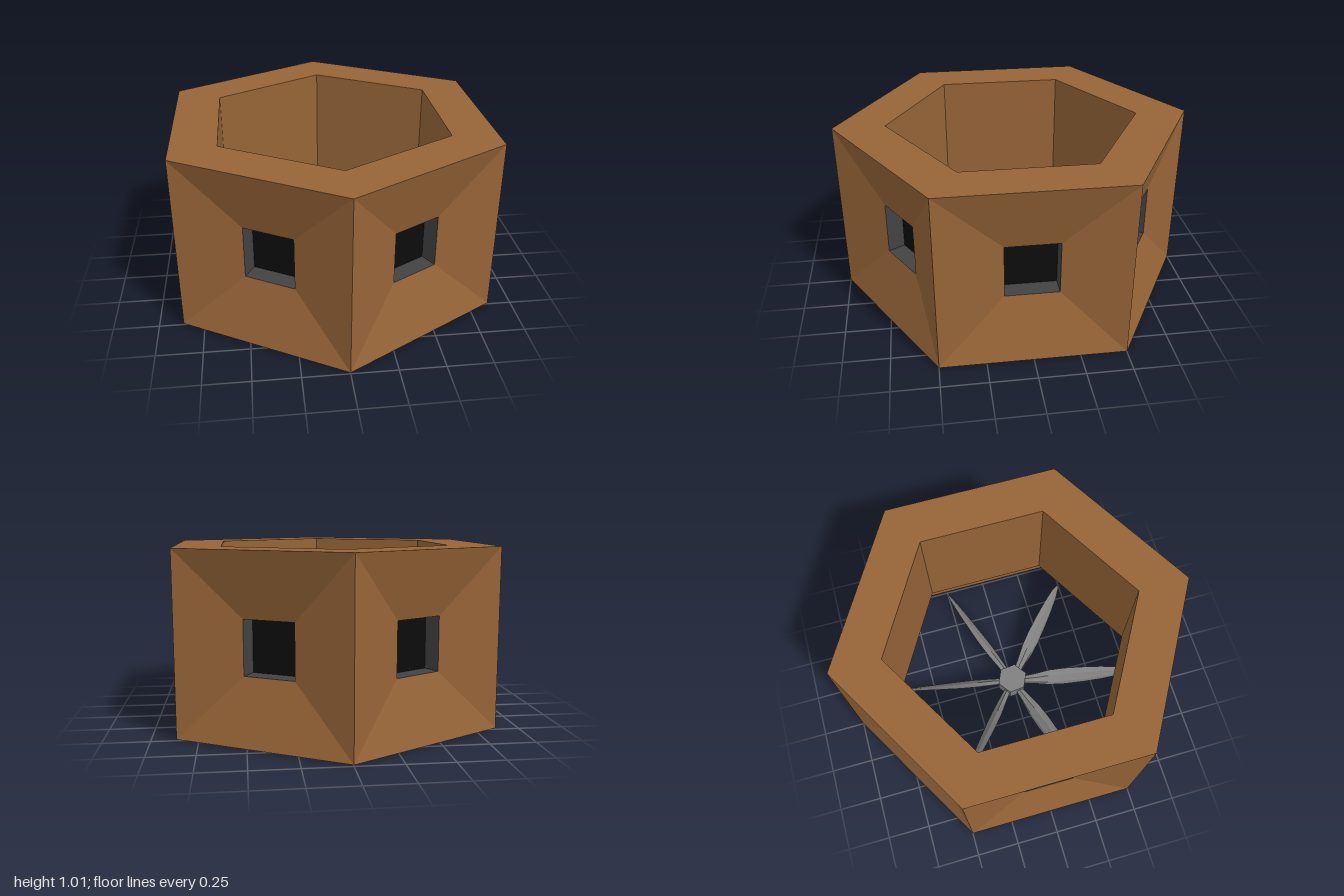
import * as THREE from 'three';

const mat = (name, color) => {
  const m = new THREE.MeshStandardMaterial({ color });
  m.name = name;
  return m;
};

// Joins successive loops of points with flat-shaded quads
function loft(loops) {
  const pos = [];
  for (let k = 0; k + 1 < loops.length; k++) {
    const a = loops[k], b = loops[k + 1], n = a.length;
    for (let i = 0; i < n; i++) {
      const j = (i + 1) % n;
      pos.push(...a[i], ...a[j], ...b[j], ...a[i], ...b[j], ...b[i]);
    }
  }
  const g = new THREE.BufferGeometry();
  g.setAttribute('position', new THREE.Float32BufferAttribute(pos, 3));
  g.computeVertexNormals();
  return g;
}

function flat(geometry) {
  const g = geometry.toNonIndexed();
  g.computeVertexNormals();
  return g;
}

// Upright rectangle facing +z, counter-clockwise
const rect = (half, y0, y1, z) =>
  [[-half, y0, z], [half, y0, z], [half, y1, z], [-half, y1, z]];

// Tapered, twisted blade along +x: [radius, half chord, half thickness, pitch in degrees]
function bladeGeometry() {
  const stations = [
    [0.06, 0.024, 0.016, 35], [0.14, 0.034, 0.017, 42], [0.24, 0.056, 0.016, 50],
    [0.34, 0.063, 0.014, 53], [0.46, 0.062, 0.012, 57], [0.58, 0.056, 0.010, 61],
    [0.68, 0.042, 0.007, 64], [0.745, 0.014, 0.003, 66], [0.75, 0, 0, 66],
  ];
  const outline = [[1, 0], [0.4, 1], [-0.5, 1], [-1, 0], [-0.5, -1], [0.4, -1]];
  return loft(stations.map(([r, chord, thick, deg]) => {
    const p = THREE.MathUtils.degToRad(deg), s = Math.sin(p), c = Math.cos(p);
    return outline.map(([u, v]) =>
      [r, u * chord * s + v * thick * c, -u * chord * c + v * thick * s]);
  }));
}

export function createModel() {
  const model = new THREE.Group();
  const brown = mat('brown housing', 0x966437);
  const grey = mat('grey rotor', 0x808080);
  const dark = mat('dark window frame', 0x424242);
  const black = mat('black window', 0x0c0c0c);

  const add = (parent, name, geometry, material) => {
    const mesh = new THREE.Mesh(geometry, material);
    mesh.name = name;
    parent.add(mesh);
    return mesh;
  };

  // Top rim, inner walls, sloped ledge, lower recess and bottom rim
  const profile = [[1, 1.01], [0.711, 1.01], [0.711, 0.34], [0.875, 0.2], [0.875, 0.01], [1, 0.01]]
    .map(([x, y]) => new THREE.Vector2(x, y));
  add(model, 'innerHousing', flat(new THREE.LatheGeometry(profile, 6)), brown);

  // Six outer faces sinking towards a small square window
  const apothem = Math.sqrt(3) / 2;
  const outer = rect(0.5, 0.01, 1.01, apothem);
  const sill = rect(0.145, 0.36, 0.655, apothem - 0.1);
  const back = rect(0.145, 0.36, 0.655, apothem - 0.2);
  const funnel = loft([outer, sill]);
  const jamb = loft([sill, back]);
  const pane = new THREE.PlaneGeometry(0.29, 0.295);
  pane.translate(0, 0.5075, apothem - 0.2);
  for (let i = 0; i < 6; i++) {
    const side = new THREE.Group();
    side.name = 'sidePanel' + (i + 1);
    side.rotation.y = Math.PI / 6 + i * Math.PI / 3;
    add(side, 'recessedFace', funnel, brown);
    add(side, 'windowFrame', jamb, dark);
    add(side, 'windowPane', pane, black);
    model.add(side);
  }

  // Rotor: six-sided hub and six pitched blades
  const rotor = new THREE.Group();
  rotor.name = 'rotor';
  rotor.position.y = 0.055;
  const hub = add(rotor, 'hub', flat(new THREE.CylinderGeometry(0.095, 0.095, 0.1, 6)), grey);
  hub.rotation.y = THREE.MathUtils.degToRad(6);
  const blade = bladeGeometry();
  for (let i = 0; i < 6; i++) {
    const b = add(rotor, 'blade' + (i + 1), blade, grey);
    b.rotation.y = THREE.MathUtils.degToRad(19.5 + 60 * i);
  }
  model.add(rotor);

  return model;
}
